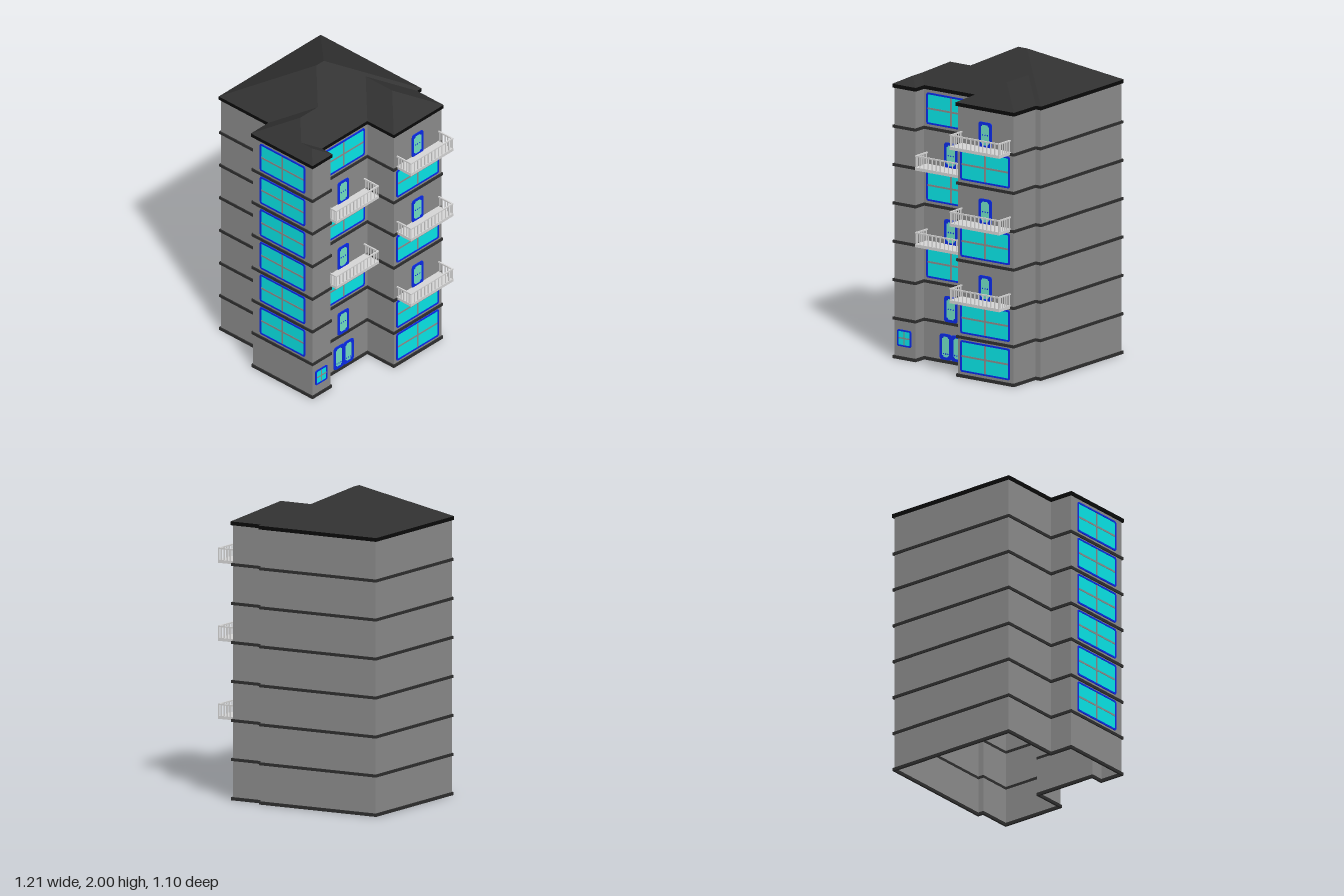
import * as THREE from 'three';

const mat = (name, color, side = THREE.FrontSide) =>
  Object.assign(new THREE.MeshStandardMaterial({ color, side }), { name });

export function createModel() {
  const wallGrey = mat('wall grey', 0x8b8b8b);
  const roofGrey = mat('roof grey', 0x303030, THREE.DoubleSide);
  const bandGrey = mat('band grey', 0x2e2e2e);
  const black = mat('fascia black', 0x0a0a0a);
  const cyan = mat('window cyan', 0x08e4e6);
  const blue = mat('frame blue', 0x0a2cee);
  const teal = mat('door teal', 0x70dec2);
  const railGrey = mat('balcony grey', 0xd4d4d4);

  const model = new THREE.Group();
  model.name = 'apartmentBuilding';
  const add = (parent, name, geo, material, x = 0, y = 0, z = 0) => {
    const m = new THREE.Mesh(geo, material);
    m.name = name;
    m.position.set(x, y, z);
    parent.add(m);
    return m;
  };
  const box = (parent, name, w, h, d, material, x, y, z) =>
    add(parent, name, new THREE.BoxGeometry(w, h, d), material, x, y, z);

  // Eave corners and ridge points: [x, z, distance in from the eave]
  const P = {
    A: [-0.605, -0.55, 0], B: [0.262, -0.55, 0], C: [0.262, -0.51, 0], D: [0.49, -0.51, 0],
    E: [0.49, -0.053, 0], F: [0.262, -0.053, 0], G: [0.262, 0.364, 0], H: [0.353, 0.364, 0],
    I: [0.353, 0.547, 0], J: [-0.178, 0.547, 0], K: [-0.178, 0.386, 0], L: [-0.605, 0.386, 0],
    M: [-0.1715, -0.1165, 0.4335], N: [-0.1715, -0.0475, 0.4335],
    V: [0.0335, -0.2815, 0.2285], W: [0.2615, -0.2815, 0.2285],
    P: [0.042, 0.166, 0.22], Q: [0.042, 0.327, 0.22],
    S: [0.1705, 0.4555, 0.0915], T: [0.2615, 0.4555, 0.0915],
  };
  const outline = [...'ABCDEFGHIJKL'].map((k) => P[k]);

  // Footprint moved inward by d, counter-clockwise
  const inset = (d) => outline.map((p, i) => {
    const a = outline[(i + 11) % 12], b = outline[(i + 1) % 12];
    const n = (s, e) => [-Math.sign(e[1] - s[1]), Math.sign(e[0] - s[0])];
    const n1 = n(a, p), n2 = n(p, b);
    return new THREE.Vector2(p[0] + d * (n1[0] + n2[0]), -(p[1] + d * (n1[1] + n2[1])));
  }).reverse();
  // Hollow ring that follows the footprint
  const ring = (name, outer, inner, y0, y1, material) => {
    const shape = new THREE.Shape(inset(outer));
    shape.holes.push(new THREE.Path(inset(inner)));
    const g = new THREE.ExtrudeGeometry(shape, { depth: y1 - y0, bevelEnabled: false });
    add(model, name, g.rotateX(-Math.PI / 2), material, 0, y0, 0);
  };

  // Walls, storey bands and eave fascia
  const floorY = (n) => 0.02 + (n - 1) * 0.2485; // top of the band under storey n
  ring('walls', 0.01, 0.013, 0.004, 1.757, wallGrey);
  for (let n = 1; n <= 7; n++) ring('storeyBand', 0.002, 0.0145, floorY(n) - (n > 1 ? 0.018 : 0.02), floorY(n), bandGrey);
  ring('eaveFascia', 0, 0.0145, 1.753, 1.777, black);

  // Hipped roof, one polygon per slope
  const pos = [];
  for (const face of ['ABM', 'AMNL', 'LNPK', 'BCVFGSQPNM', 'CDWV', 'DEW', 'EFVW', 'KPQJ', 'JQSTI', 'GHTS', 'HIT']) {
    let pts = [...face].map((k) => P[k]);
    if (THREE.ShapeUtils.isClockWise(pts.map((p) => ({ x: p[0], y: -p[1] })))) pts = pts.reverse();
    const flat = pts.map((p) => new THREE.Vector2(p[0], -p[1]));
    for (const tri of THREE.ShapeUtils.triangulateShape(flat, []))
      for (const i of tri) pos.push(pts[i][0], 1.777 + pts[i][2] * 0.5144, pts[i][1]);
  }
  const roofGeo = new THREE.BufferGeometry();
  roofGeo.setAttribute('position', new THREE.Float32BufferAttribute(pos, 3));
  roofGeo.computeVertexNormals();
  add(model, 'roof', roofGeo, roofGrey);

  // Rectangle outline with rounded corners, or scooped ones when scoop is set
  const rect = (Type, w, h, r, scoop = false) => {
    const s = new Type(), x = w / 2, y = h / 2;
    const corners = [[x, -y, -1, 1], [x, y, -1, -1], [-x, y, 1, -1], [-x, -y, 1, 1]];
    s.moveTo(-x + r, -y);
    corners.forEach(([cx, cy, sx, sy], i) => {
      const onX = [cx + sx * r, cy], onY = [cx, cy + sy * r];
      const [from, to] = i % 2 ? [onY, onX] : [onX, onY];
      s.lineTo(...from);
      s.quadraticCurveTo(cx + (scoop ? sx * r : 0), cy + (scoop ? sy * r : 0), ...to);
    });
    s.closePath();
    return s;
  };
  const frameGeo = (w, h, t, r, scoop) => {
    const s = rect(THREE.Shape, w, h, r);
    s.holes.push(rect(THREE.Path, w - 2 * t, h - 2 * t, scoop ? 0.012 : r * 0.6, scoop));
    return new THREE.ExtrudeGeometry(s, { depth: 0.006, bevelEnabled: false, curveSegments: 4 });
  };

  // Openings are built facing +z, then placed on a wall
  const windowUnit = (w, h, t, bar) => {
    const g = new THREE.Group();
    g.name = 'window';
    add(g, 'windowFrame', frameGeo(w, h, t, 0.013), blue);
    box(g, 'windowGlass', w - t, h - t, 0.003, cyan, 0, 0, 0.0015);
    box(g, 'mullion', bar, h - 2 * t, 0.005, wallGrey, 0, 0, 0.0025);
    box(g, 'transom', w - 2 * t, bar, 0.005, wallGrey, 0, 0, 0.0026);
    return g;
  };
  const doorUnit = (w, h, studY) => {
    const g = new THREE.Group();
    g.name = 'door';
    add(g, 'doorFrame', frameGeo(w, h, 0.017, 0.02, true), blue);
    box(g, 'doorPanel', w - 0.016, h - 0.016, 0.003, teal, 0, 0, 0.0015);
    for (let i = -1; i <= 1; i++)
      box(g, 'doorStud', 0.008, 0.008, 0.003, blue, i * w * 0.19, studY, 0.003).rotation.z = Math.PI / 4;
    return g;
  };
  // Balcony: thick slab, top rail and posts, projecting towards +z
  const balcony = (w, d) => {
    const g = new THREE.Group();
    g.name = 'balcony';
    const h = 0.084, r = 0.009, low = 0.007, postH = h - r - low, postY = low + postH / 2;
    box(g, 'balconySlab', w, 0.02, d, railGrey, 0, low - 0.01, d / 2);
    box(g, 'frontRail', w, r, r, railGrey, 0, h - r / 2, d - r / 2);
    for (let i = 0; i <= 12; i++)
      box(g, 'frontPost', 0.005, postH, 0.007, railGrey, (i / 12 - 0.5) * (w - r), postY, d - r / 2);
    for (const s of [-1, 1]) {
      const x = s * (w - r) / 2;
      box(g, 'sideRail', r, r, d - r, railGrey, x, h - r / 2, (d - r) / 2);
      for (let i = 0; i < 5; i++)
        box(g, 'sidePost', 0.005, postH, 0.008, railGrey, x, postY, 0.012 + i * (d - r) / 5);
    }
    return g;
  };
  const onFront = (g, x, y) => { g.position.set(x, y, 0.537); model.add(g); };
  const onSide = (g, wallX, y, z) => {
    g.rotation.y = Math.PI / 2;
    g.position.set(wallX, y, z);
    model.add(g);
  };

  const WING = 0.48, RECESS = 0.252, BAY = 0.343;
  const bigWindow = () => windowUnit(0.386, 0.204, 0.011, 0.012);
  const tallDoor = () => doorUnit(0.102, 0.168, 0);
  const windowY = (n) => floorY(n) + 0.119;

  for (let n = 1; n <= 7; n++) {
    const f = floorY(n), odd = n % 2 === 1;
    if (n > 1) onFront(bigWindow(), 0.088, windowY(n));
    // Projecting wing: windows, with balcony doors on odd storeys from the third
    if (n >= 3 && odd) {
      onSide(tallDoor(), WING, f + 0.084, -0.278);
      onSide(balcony(0.388, 0.124), WING, f, -0.283);
    } else onSide(bigWindow(), WING, windowY(n), -0.278);
    // Recessed wall: the opposite rhythm
    if (!odd) {
      onSide(tallDoor(), RECESS, f + 0.084, 0.161);
      if (n > 2) onSide(balcony(0.392, 0.123), RECESS, f, 0.157);
    } else if (n > 1) onSide(bigWindow(), RECESS, windowY(n), 0.159);
  }

  // Ground floor entrance and small bay window
  for (const s of [-1, 1]) onSide(doorUnit(0.092, 0.168, -0.045), RECESS, 0.105, 0.157 + s * 0.044);
  onSide(windowUnit(0.108, 0.108, 0.01, 0.009), BAY, 0.139, 0.459);

  return model;
}
